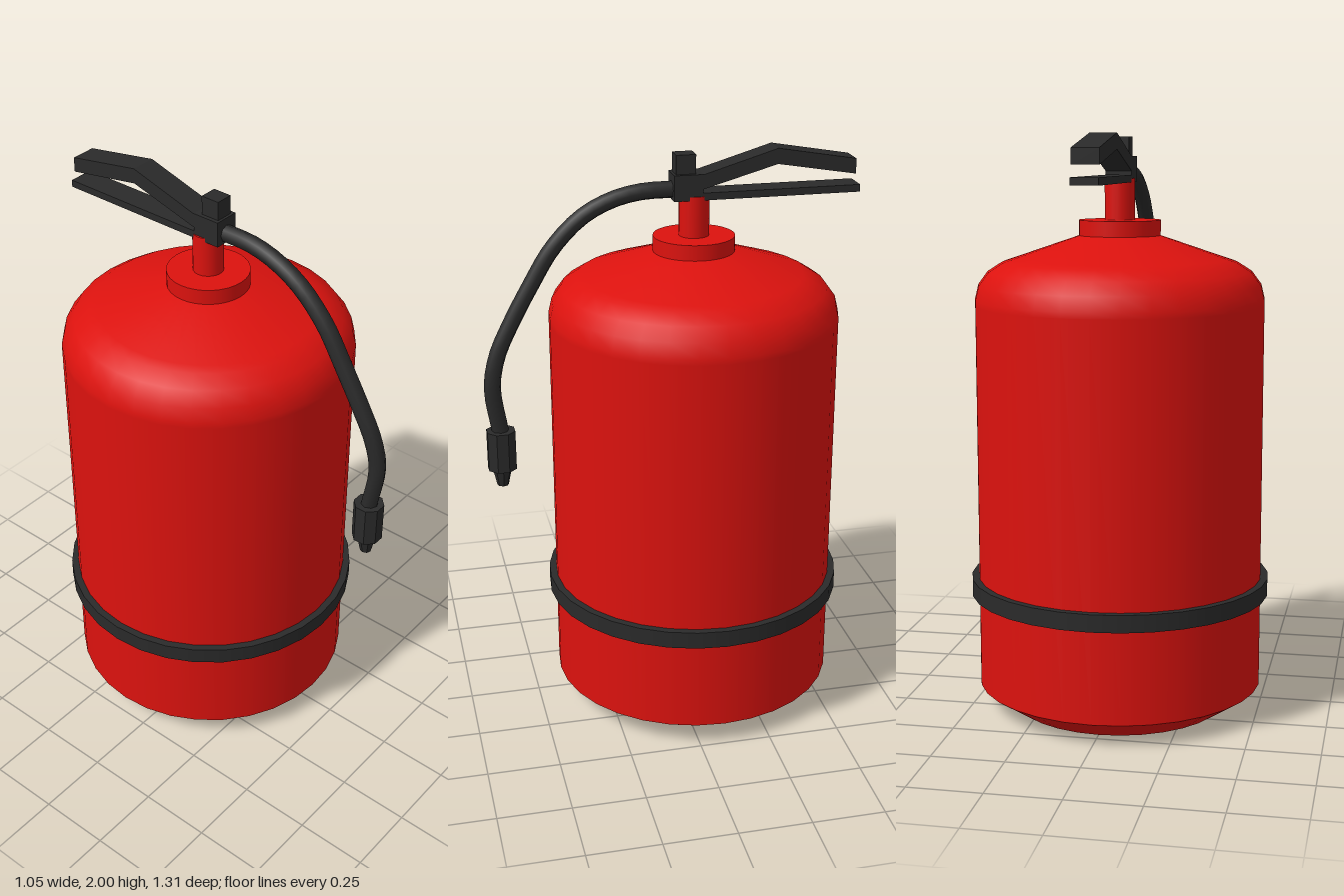
import * as THREE from 'three';

const red = new THREE.MeshStandardMaterial({ color: 0xdc120e });
const black = new THREE.MeshStandardMaterial({ color: 0x2a2a2a });
const blackFlat = new THREE.MeshStandardMaterial({ color: 0x2a2a2a, flatShading: true });
const AXIS_Z = -0.085; // centre line of the tank
const SIDES = 32;

export function createModel() {
  const model = new THREE.Group();
  model.name = 'fireExtinguisher';

  const add = (name, geometry, material, x = 0, y = 0, z = 0) => {
    const mesh = new THREE.Mesh(geometry, material);
    mesh.name = name;
    mesh.position.set(x, y, z);
    model.add(mesh);
    return mesh;
  };
  const lathe = (name, profile) => add(name,
    new THREE.LatheGeometry(profile.map(([r, y]) => new THREE.Vector2(r, y)), SIDES), red, 0, 0, AXIS_Z);
  const cylinder = (name, rTop, rBottom, y0, y1, sides, material, x = 0, z = AXIS_Z) =>
    add(name, new THREE.CylinderGeometry(rTop, rBottom, y1 - y0, sides), material, x, (y0 + y1) / 2, z);
  // Side outline in (distance to the rear, height), extruded across x
  const sidePlate = (name, outline, width) => {
    const shape = new THREE.Shape(outline.map(([d, y]) => new THREE.Vector2(d, y)));
    const geometry = new THREE.ExtrudeGeometry(shape, { depth: width, bevelEnabled: false });
    geometry.translate(0, 0, -width / 2).rotateY(Math.PI / 2);
    add(name, geometry, blackFlat);
  };

  // Tank, in separate lathes so the lower edges stay sharp
  lathe('tankBottom', [[0, 0], [0.38, 0]]);
  lathe('tankChamfer', [[0.38, 0], [0.5, 0.08]]);
  lathe('tankBody', [[0.5, 0.08], [0.5, 1.42], [0.5, 1.44], [0.488, 1.49],
    [0.455, 1.535], [0.405, 1.567], [0.375, 1.577], [0.14, 1.657], [0, 1.657]]);

  // Strap around the tank
  cylinder('strap', 0.525, 0.525, 0.405, 0.465, SIDES, black);

  // Collar and neck
  cylinder('collar', 0.14, 0.14, 1.65, 1.71, SIDES, red);
  cylinder('neck', 0.052, 0.052, 1.7, 1.85, 20, red);

  // Valve block and safety cap
  add('valveBlock', new THREE.BoxGeometry(0.09, 0.088, 0.1), blackFlat, 0, 1.881, -0.057);
  add('safetyCap', new THREE.BoxGeometry(0.062, 0.07, 0.068), blackFlat, 0, 1.955, -0.05);

  // Squeeze lever and carrying handle
  sidePlate('squeezeLever', [[0.1, 1.873], [0.363, 1.947], [0.638, 1.9],
    [0.638, 1.952], [0.363, 2.0], [0.1, 1.922]], 0.09);
  sidePlate('carryingHandle', [[0.1, 1.837], [0.655, 1.837], [0.655, 1.862], [0.1, 1.862]], 0.09);

  // Hose
  const path = [[0, -0.03, 1.87], [0, 0.1, 1.867], [-0.003, 0.2, 1.843], [-0.005, 0.3, 1.79],
    [-0.005, 0.4, 1.69], [-0.004, 0.475, 1.57], [0, 0.548, 1.44], [0.006, 0.6, 1.33],
    [0.013, 0.622, 1.22], [0.012, 0.6, 1.05]];
  const curve = new THREE.CatmullRomCurve3(path.map(([x, z, y]) => new THREE.Vector3(x, y, z)));
  add('hose', new THREE.TubeGeometry(curve, 28, 0.029, 8), black);

  // Nozzle grip and tip
  cylinder('nozzleGrip', 0.052, 0.052, 0.918, 1.06, 8, blackFlat, 0.012, 0.6).rotation.y = Math.PI / 8;
  cylinder('nozzleTip', 0.034, 0.02, 0.855, 0.92, 8, blackFlat, 0.012, 0.6);

  return model;
}
